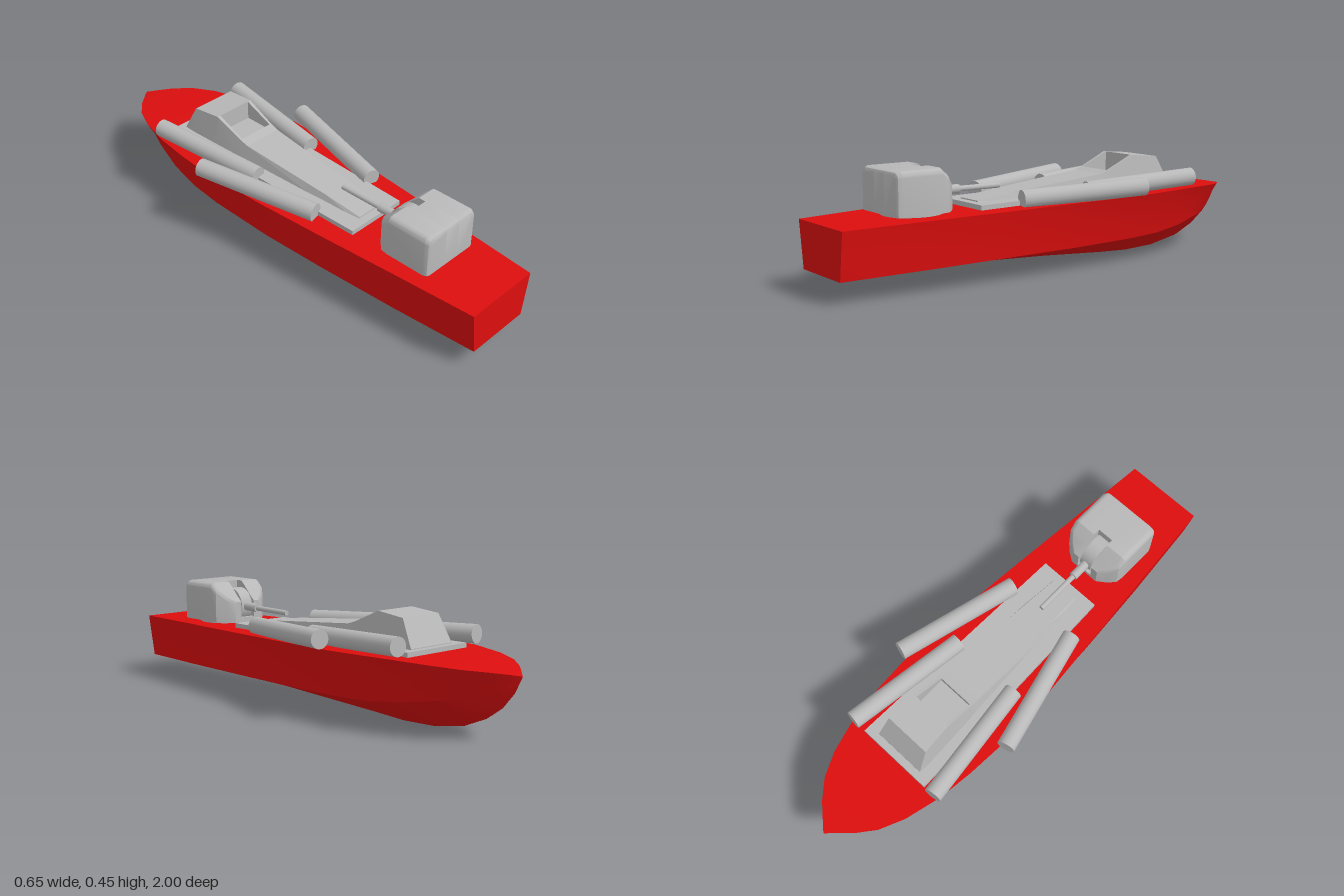
import * as THREE from 'three';
import { toCreasedNormals } from 'three/addons/utils/BufferGeometryUtils.js';

const hullRed = new THREE.MeshStandardMaterial({ color: 0xdc0e0e });
hullRed.name = 'hull red';
const deckGrey = new THREE.MeshStandardMaterial({ color: 0xb8b8b8 });
deckGrey.name = 'fittings grey';

function mesh(name, geometry, material) {
  const m = new THREE.Mesh(geometry, material);
  m.name = name;
  return m;
}

// Skin counter-clockwise xy outlines, stacked along rising z, and close both ends.
function loft(stations, crease = 0.45) {
  const pos = [];
  const put = (z, p) => pos.push(p[0], p[1], z);
  for (let i = 0; i < stations.length - 1; i++) {
    const [z0, a] = stations[i];
    const [z1, b] = stations[i + 1];
    for (let j = 0; j < a.length; j++) {
      const k = (j + 1) % a.length;
      put(z0, a[j]); put(z0, a[k]); put(z1, b[k]);
      put(z0, a[j]); put(z1, b[k]); put(z1, b[j]);
    }
  }
  const cap = ([z, outline], flip) => {
    const pts = outline.map(p => new THREE.Vector2(p[0], p[1]));
    for (const f of THREE.ShapeUtils.triangulateShape(pts, [])) {
      for (const i of flip ? [f[2], f[1], f[0]] : f) put(z, outline[i]);
    }
  };
  cap(stations[0], true);
  cap(stations[stations.length - 1], false);
  const g = new THREE.BufferGeometry();
  g.setAttribute('position', new THREE.Float32BufferAttribute(pos, 3));
  g.computeVertexNormals();
  return toCreasedNormals(g, crease);
}

const mirror = outline => outline.map(([x, y]) => [-x, y]).reverse();

// Cylinder running between two points
function rod(name, from, to, radius, sides = 24) {
  const a = new THREE.Vector3(...from);
  const b = new THREE.Vector3(...to);
  const m = mesh(name, new THREE.CylinderGeometry(radius, radius, a.distanceTo(b), sides), deckGrey);
  m.position.copy(a).lerp(b, 0.5);
  m.quaternion.setFromUnitVectors(new THREE.Vector3(0, 1, 0), b.sub(a).normalize());
  return m;
}

function buildHull() {
  // z, deck half width, deck y, chine half width, chine y, keel y
  const rows = [
    [-1, 0.002, 0.25, 0.001, 0.247, 0.244],
    [-0.97, 0.035, 0.256, 0.012, 0.215, 0.185],
    [-0.92, 0.09, 0.264, 0.045, 0.19, 0.125],
    [-0.85, 0.148, 0.271, 0.09, 0.17, 0.075],
    [-0.75, 0.195, 0.278, 0.135, 0.145, 0.032],
    [-0.6, 0.235, 0.284, 0.175, 0.12, 0.005],
    [-0.45, 0.253, 0.284, 0.198, 0.105, 0],
    [-0.3, 0.262, 0.283, 0.208, 0.1, 0.008],
    [0, 0.25, 0.281, 0.21, 0.097, 0.03],
    [0.3, 0.226, 0.277, 0.197, 0.095, 0.047],
    [0.65, 0.195, 0.273, 0.172, 0.09, 0.067],
    [1, 0.165, 0.268, 0.14, 0.085, 0.085],
  ];
  return mesh('hull', loft(rows.map(([z, dw, dy, cw, cy, ky]) => {
    const flare = z === 1 ? 0.5 : 0.4;
    const side = [[cw, cy], [cw + (dw - cw) * flare, (cy + dy) / 2], [dw, dy]];
    return [z, [[0, ky], ...side, ...mirror(side)]];
  })), hullRed);
}

function buildDeckhouse() {
  const group = new THREE.Group();
  group.name = 'deckhouse';
  const slab = (w, y) => [[-w, 0.262], [w, 0.262], [w, y], [-w, y]];
  group.add(mesh('deckPlate', loft([[-0.615, slab(0.163, 0.302)], [0.4, slab(0.135, 0.295)]]), deckGrey));

  // Sloping roof with an open cockpit: z, base half width, roof half width, roof y, well floor y
  const rows = [
    [-0.585, 0.115, 0.112, 0.305, 0.305],
    [-0.53, 0.117, 0.098, 0.412, 0.412],
    [-0.4, 0.111, 0.092, 0.425, 0.425],
    [-0.4, 0.111, 0.092, 0.425, 0.345],
    [-0.27, 0.104, 0.087, 0.37, 0.345],
    [-0.27, 0.104, 0.087, 0.37, 0.37],
    [-0.23, 0.102, 0.085, 0.358, 0.358],
    [0.2, 0.079, 0.064, 0.32, 0.32],
    [0.365, 0.07, 0.057, 0.3, 0.3],
  ];
  group.add(mesh('cabin', loft(rows.map(([z, bw, rw, y, floor]) => {
    const side = [[bw, 0.28], [rw, y], [0.077, y], [0.077, floor]];
    if (rw < 0.08) side[2][0] = side[3][0] = rw * 0.8;
    return [z, [...side, ...mirror(side)]];
  }), 0.1), deckGrey));
  return group;
}

function buildTurret() {
  const group = new THREE.Group();
  group.name = 'gunTurret';
  const bottom = 0.283;
  const slot = 0.035;
  // z, half width, top y, edge radius
  const rows = [
    [0.485, 0.065, 0.37, 0.01],
    [0.51, 0.1, 0.392, 0.015],
    [0.54, 0.13, 0.423, 0.02],
    [0.57, 0.135, 0.45, 0.025],
    [0.74, 0.135, 0.45, 0.025],
    [0.755, 0.129, 0.444, 0.025],
    [0.76, 0.118, 0.433, 0.022],
  ];
  const half = ([z, w, h, r]) => {
    const outline = [[slot, bottom], [w, bottom]];
    for (let i = 0; i <= 5; i++) {
      const t = i / 5 * Math.PI / 2;
      outline.push([w - r + r * Math.cos(t), h - r + r * Math.sin(t)]);
    }
    outline.push([slot, h]);
    return [z, outline];
  };
  const left = rows.map(half);
  group.add(mesh('leftHousing', loft(left), deckGrey));
  group.add(mesh('rightHousing', loft(left.map(([z, o]) => [z, mirror(o)])), deckGrey));

  // Back wall and floor of the gun slot
  const middle = h => [[-slot, bottom], [slot, bottom], [slot, h], [-slot, h]];
  group.add(mesh('middleHousing', loft([
    [0.485, middle(0.3)], [0.6, middle(0.3)], [0.6, middle(0.45)],
    [0.74, middle(0.45)], [0.755, middle(0.444)], [0.76, middle(0.433)],
  ]), deckGrey));

  const ring = mesh('turretRing', new THREE.CylinderGeometry(0.12, 0.12, 0.024, 32), deckGrey);
  ring.position.set(0, 0.274, 0.62);
  group.add(ring);

  // Gun
  group.add(rod('gunMantlet', [-0.028, 0.345, 0.565], [0.028, 0.345, 0.565], 0.077, 32));
  group.add(rod('barrelSleeve', [0, 0.347, 0.5], [0, 0.345, 0.415], 0.018, 16));
  group.add(rod('barrel', [0, 0.345, 0.43], [0, 0.343, 0.225], 0.011, 16));
  return group;
}

export function createModel() {
  const model = new THREE.Group();
  model.name = 'missileBoat';
  model.add(buildHull(), buildDeckhouse(), buildTurret());

  // Launch tubes splayed out on both sides
  for (const [s, side] of [[1, 'left'], [-1, 'right']]) {
    model.add(rod(side + 'AftLaunchTube', [s * 0.16, 0.305, 0.23], [s * 0.288, 0.325, -0.29], 0.037));
    model.add(rod(side + 'ForwardLaunchTube', [s * 0.15, 0.308, -0.1], [s * 0.217, 0.33, -0.62], 0.037));
  }
  return model;
}
